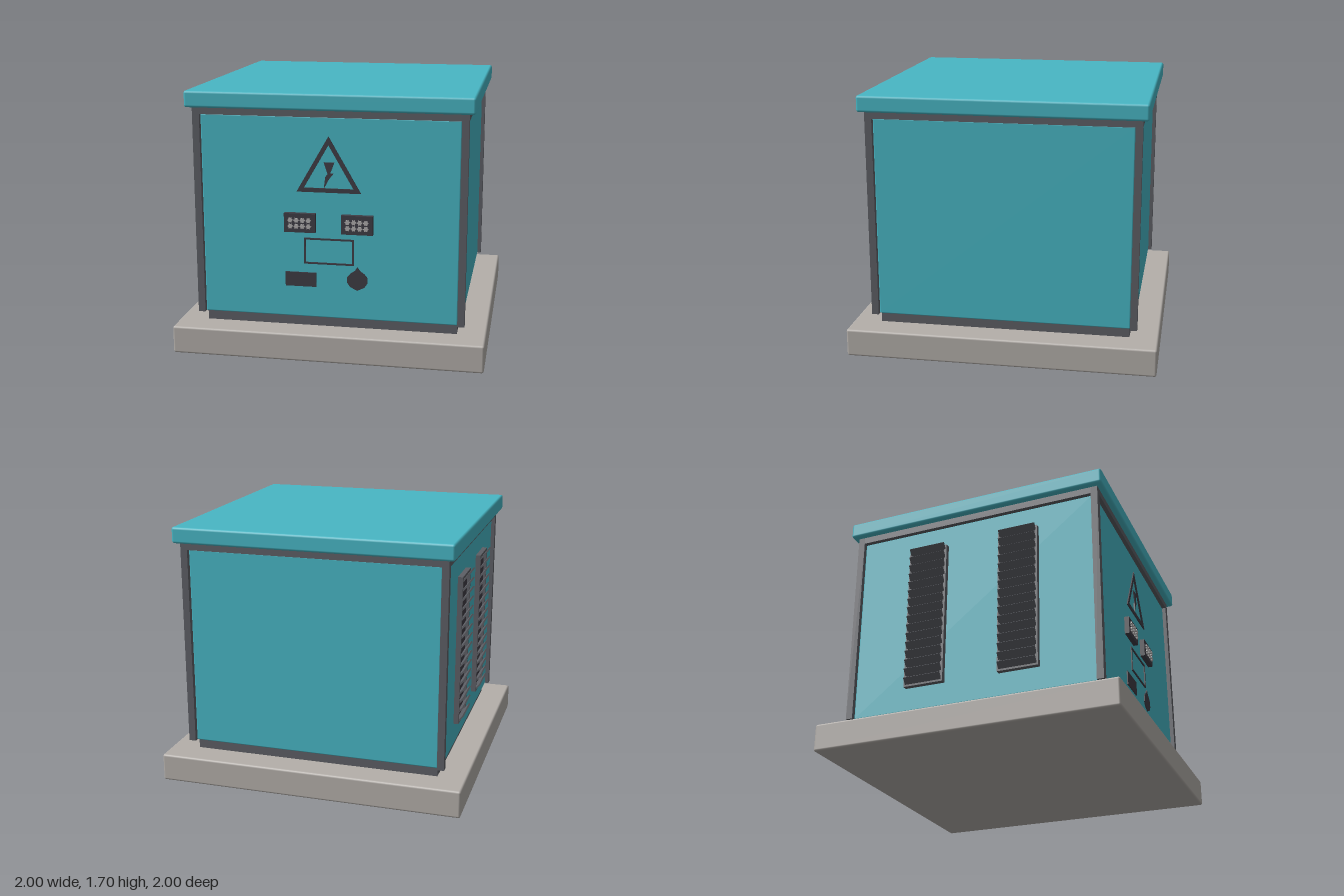
import * as THREE from 'three';
import { RoundedBoxGeometry } from 'three/addons/geometries/RoundedBoxGeometry.js';

const mat = (name, color) => {
  const m = new THREE.MeshStandardMaterial({ color });
  m.name = name;
  return m;
};

export function createModel() {
  const root = new THREE.Group();
  root.name = 'electricalCabinet';
  const teal = mat('teal paint', 0x48b7c5);
  const steel = mat('grey steel', 0x5d5f65);
  const dark = mat('dark marking', 0x3f3d45);
  const concrete = mat('concrete', 0xb4afaa);
  const pale = mat('pale grey', 0xb0aeae);

  const add = (parent, name, geo, material, x = 0, y = 0, z = 0) => {
    const mesh = new THREE.Mesh(geo, material);
    mesh.name = name;
    mesh.position.set(x, y, z);
    parent.add(mesh);
    return mesh;
  };
  const box = (parent, name, m, w, h, d, x, y, z) =>
    add(parent, name, new THREE.BoxGeometry(w, h, d), m, x, y, z);
  const rounded = (parent, name, m, w, h, d, r, x, y, z) =>
    add(parent, name, new RoundedBoxGeometry(w, h, d, 2, r), m, x, y, z);

  // Concrete slab, inner core with plinth, and lid
  rounded(root, 'baseSlab', concrete, 2, 0.18, 2, 0.014, 0, 0.09, 0);
  box(root, 'core', steel, 1.63, 1.41, 1.63, 0, 0.885, 0);
  rounded(root, 'lid', teal, 1.81, 0.105, 1.81, 0.016, 0, 1.6425, 0);

  // Wall panel, top rail and corner post, repeated for each side
  for (let i = 0; i < 4; i++) {
    const side = new THREE.Group();
    side.name = 'wall';
    side.rotation.y = (i * Math.PI) / 2;
    root.add(side);
    rounded(side, 'wallPanel', teal, 1.64, 1.3, 0.06, 0.008, 0, 0.895, 0.81);
    box(side, 'topRail', steel, 1.64, 0.045, 0.055, 0, 1.5675, 0.8375);
    box(side, 'cornerPost', steel, 0.045, 1.345, 0.045, 0.8425, 0.9175, 0.8425);
  }

  // Flat markings on the front
  const FACE = 0.838;
  const outline = (pts) => new THREE.Shape(pts.map(([x, y]) => new THREE.Vector2(x, y)));
  const plate = (name, pts, hole, x = 0) => {
    const shape = outline(pts);
    if (hole) shape.holes.push(outline(hole));
    const geo = new THREE.ExtrudeGeometry(shape, { depth: 0.0095, bevelEnabled: false });
    return add(root, name, geo, dark, x, 0, FACE);
  };
  const rect = (x0, y0, x1, y1) => [[x0, y0], [x1, y0], [x1, y1], [x0, y1]];

  plate('warningTriangle',
    [[-0.205, 1.07], [0.205, 1.07], [0, 1.425]],
    [[-0.158, 1.097], [0.158, 1.097], [0, 1.371]]);
  plate('warningBolt', [
    [-0.03, 1.262], [0.037, 1.262], [0.01, 1.192], [0.032, 1.192], [0.002, 1.155],
    [-0.03, 1.095], [-0.021, 1.17], [-0.006, 1.188],
  ]);
  plate('labelFrame', rect(-0.16, 0.602, 0.16, 0.772), rect(-0.149, 0.613, 0.149, 0.761));
  plate('namePlate', rect(-0.283, 0.45, -0.083, 0.543));

  // Drop-shaped plate, mirrored from one half profile
  const half = [[0, 0.595], [0.016, 0.57], [0.045, 0.55], [0.065, 0.525],
    [0.065, 0.49], [0.045, 0.462], [0, 0.44]];
  const mirrored = half.slice(1, -1).reverse().map(([x, y]) => [-x, y]);
  plate('dropPlate', [...half, ...mirrored], null, 0.182);

  // Indicator boxes with two rows of star-shaped studs
  const star = outline(Array.from({ length: 12 }, (_, i) => {
    const a = (i * Math.PI) / 6, r = i % 2 ? 0.012 : 0.018;
    return [Math.cos(a) * r, Math.sin(a) * r];
  }));
  const stud = new THREE.ExtrudeGeometry(star, { depth: 0.012, bevelEnabled: false });
  for (const s of [-1, 1]) {
    box(root, 'indicatorBox', dark, 0.2, 0.122, 0.04, s * 0.183, 0.873, 0.852);
    for (let i = 0; i < 4; i++)
      for (const y of [0.853, 0.892])
        add(root, 'indicatorStud', stud, pale, s * 0.183 + (i - 1.5) * 0.039, y, 0.871);
  }

  // Two louvred vents on the right side
  for (const z of [-0.32, 0.32]) {
    const vent = new THREE.Group();
    vent.name = 'vent';
    vent.position.set(-0.84, 0.895, z);
    root.add(vent);
    box(vent, 'ventBack', dark, 0.02, 0.98, 0.26, -0.004, 0, 0);
    for (const s of [-1, 1]) {
      box(vent, 'ventSide', steel, 0.04, 0.99, 0.018, -0.013, 0, s * 0.126);
      box(vent, 'ventEnd', steel, 0.04, 0.018, 0.27, -0.013, s * 0.486, 0);
    }
    for (let i = 0; i < 16; i++) {
      const slat = box(vent, 'ventSlat', steel, 0.06, 0.01, 0.25, -0.04, -0.465 + i * 0.0628, 0);
      slat.rotation.z = -0.9;
    }
  }
  return root;
}
